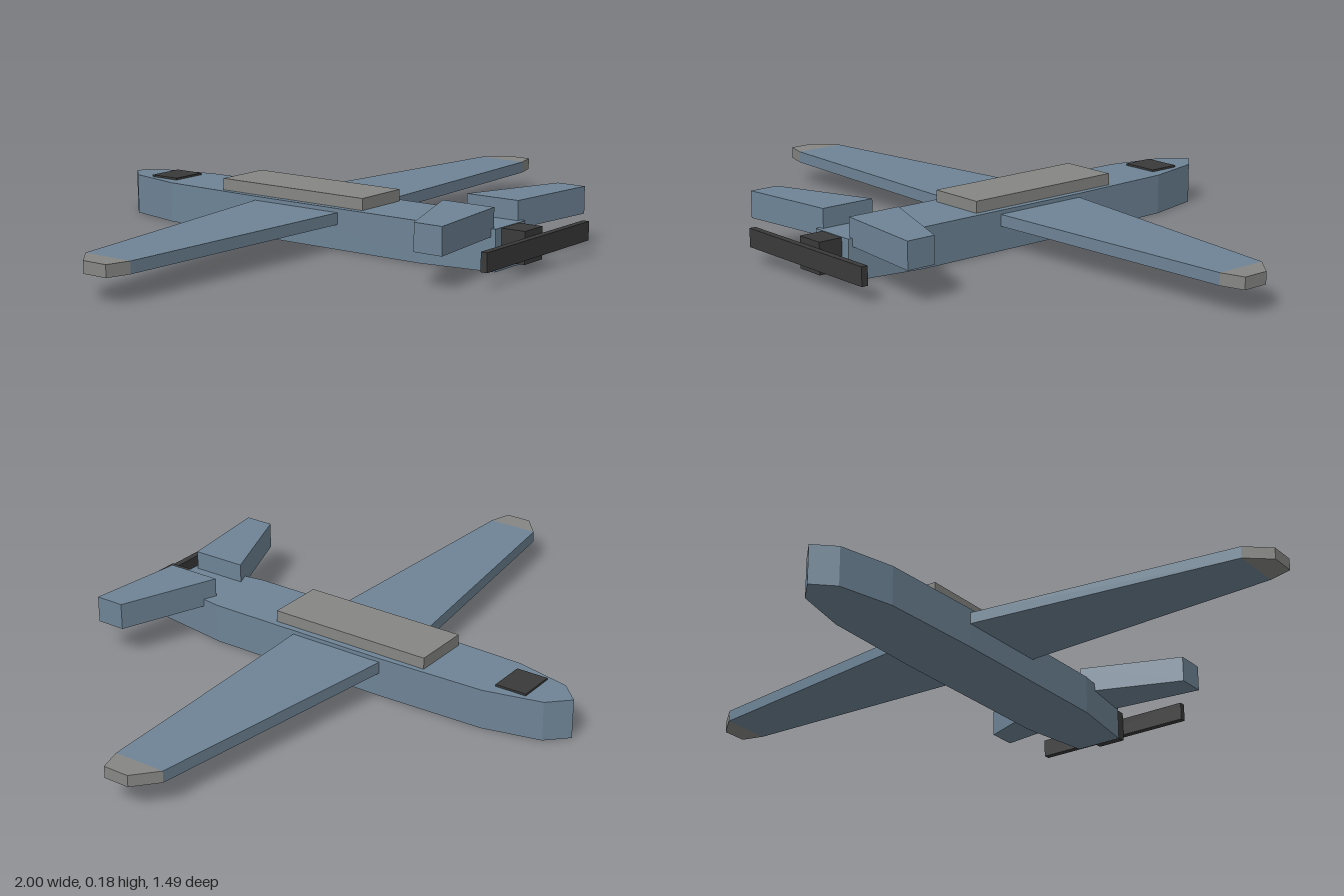
import * as THREE from 'three';

const paint = (name, color) => {
  const m = new THREE.MeshStandardMaterial({ color });
  m.name = name;
  return m;
};

// Solid slab from an outline of [x, z] points, between two heights
function slab(name, points, bottom, top, material) {
  const shape = new THREE.Shape(points.map(([x, z]) => new THREE.Vector2(x, z)));
  const geo = new THREE.ExtrudeGeometry(shape, { depth: top - bottom, bevelEnabled: false });
  geo.rotateX(Math.PI / 2).translate(0, top, 0);
  const mesh = new THREE.Mesh(geo, material);
  mesh.name = name;
  return mesh;
}

// Box given by its size and centre
function box(name, size, centre, material) {
  const mesh = new THREE.Mesh(new THREE.BoxGeometry(...size), material);
  mesh.position.set(...centre);
  mesh.name = name;
  return mesh;
}

const mirror = (points, side) => points.map(([x, z]) => [x * side, z]);

export function createModel() {
  const blue = paint('slate blue', 0x6e8496);
  const grey = paint('grey', 0x868684);
  const dark = paint('charcoal', 0x3a3a3a);

  const model = new THREE.Group();
  model.name = 'aircraft';

  // Fuselage with the pointed nose towards -z
  const half = [[0.06, -0.685], [0.1, -0.51], [0.11, -0.17], [0.11, 0.42], [0.075, 0.65]];
  const outline = [[0, -0.745], ...half, ...mirror(half, -1).reverse()];
  model.add(slab('fuselage', outline, 0, 0.12, blue));

  // Raised hatch, nose window
  model.add(box('hatch', [0.18, 0.035, 0.52], [0, 0.1375, -0.05], grey));
  model.add(box('noseWindow', [0.116, 0.006, 0.098], [0, 0.123, -0.577], dark));

  // Wings, wing tips and tailplanes on both sides
  const wing = [[0.1, -0.172], [0.93, -0.06], [0.93, 0.1], [0.1, 0.136]];
  const tip = [[0.93, -0.06], [1, 0], [1, 0.08], [0.93, 0.1]];
  const tail = [[0.06, 0.465], [0.36, 0.58], [0.36, 0.67], [0.06, 0.635]];
  for (const [label, side] of [['left', 1], ['right', -1]]) {
    model.add(slab(label + 'Wing', mirror(wing, side), 0.073, 0.108, blue));
    model.add(slab(label + 'WingTip', mirror(tip, side), 0.073, 0.108, grey));
    model.add(slab(label + 'Tailplane', mirror(tail, side), 0.097, 0.177, blue));
  }

  // Pusher motor and propeller
  model.add(box('motor', [0.09, 0.093, 0.085], [0, 0.072, 0.6825], dark));
  model.add(box('propeller', [0.52, 0.055, 0.02], [0, 0.0725, 0.735], dark));

  return model;
}
